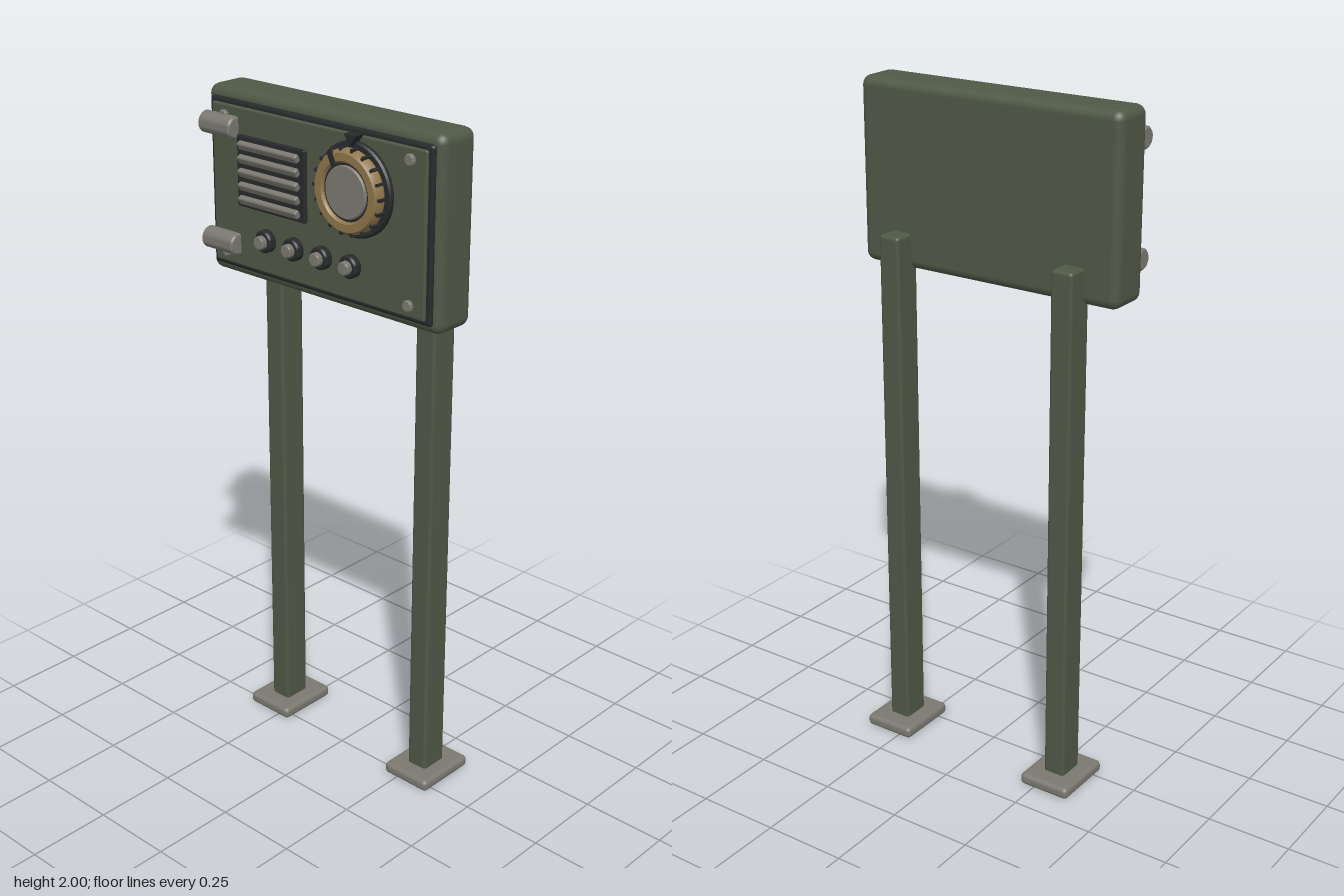
import * as THREE from 'three';
import { RoundedBoxGeometry } from 'three/addons/geometries/RoundedBoxGeometry.js';
import { toCreasedNormals } from 'three/addons/utils/BufferGeometryUtils.js';

const material = (name, color) => {
  const m = new THREE.MeshStandardMaterial({ color });
  m.name = name;
  return m;
};

export function createModel() {
  const green = material('olive green', 0x4f5846);
  const steel = material('weathered steel', 0x7a7870);
  const dark = material('dark rubber', 0x27292a);
  const brass = material('aged brass', 0x8f7549);

  const model = new THREE.Group();
  model.name = 'controlPanel';

  const add = (name, geometry, mat, x, y, z, parent = model) => {
    const mesh = new THREE.Mesh(geometry, mat);
    mesh.name = name;
    mesh.position.set(x, y, z);
    parent.add(mesh);
    return mesh;
  };
  const box = (w, h, d, r) => new RoundedBoxGeometry(w, h, d, 3, r);
  // Turned part facing +z; profile is [radius, depth] from back to front
  const turned = (profile, segments = 40) => {
    const points = profile.map(([r, z]) => new THREE.Vector2(r, z));
    return toCreasedNormals(new THREE.LatheGeometry(points, segments).rotateX(Math.PI / 2), 0.6);
  };

  // Posts and feet
  for (const x of [-0.286, 0.286]) {
    add('post', box(0.068, 1.555, 0.087, 0.01), green, x, 0.7975, -0.0615);
    add('foot', box(0.162, 0.036, 0.198, 0.014), steel, x, 0.018, -0.064);
  }

  // Cabinet, seal and door
  add('cabinet', box(0.846, 0.53, 0.135, 0.028), green, 0, 1.735, 0.0225);
  add('doorSeal', box(0.802, 0.478, 0.04, 0.01), dark, 0, 1.734, 0.08);
  add('door', box(0.772, 0.45, 0.03, 0.006), green, 0, 1.734, 0.093);

  // Hinges and corner screws
  for (const y of [1.902, 1.573]) {
    const barrel = turned([[0, -0.061], [0.026, -0.061], [0.031, -0.056], [0.031, 0.056], [0.026, 0.061], [0, 0.061]], 24);
    add('hinge', barrel, steel, -0.344, y, 0.116).rotation.y = Math.PI / 2;
  }
  for (const x of [-0.335, 0.335]) {
    for (const y of [1.928, 1.543]) {
      add('screw', turned([[0.016, 0], [0.016, 0.009], [0.013, 0.012], [0, 0.012]], 12), steel, x, y, 0.107);
    }
  }

  // Louvred speaker grille
  add('grilleBacking', box(0.256, 0.2, 0.02, 0.005), dark, -0.154, 1.786, 0.108);
  for (let i = 0; i < 5; i++) {
    const slat = add('grilleSlat', box(0.222, 0.024, 0.018, 0.006), steel, -0.153, 1.862 - i * 0.038, 0.126);
    slat.rotation.x = 0.5;
  }

  // Row of small knobs
  for (let i = 0; i < 4; i++) {
    const x = -0.177 + i * 0.1047;
    add('knobCollar', turned([[0.032, 0], [0.032, 0.018], [0.027, 0.023], [0, 0.023]], 24), dark, x, 1.606, 0.107);
    add('knobCap', turned([[0.019, 0], [0.019, 0.016], [0.016, 0.019], [0, 0.019]], 16), steel, x, 1.606, 0.128);
  }

  // Large dial
  const dial = new THREE.Group();
  dial.name = 'dial';
  dial.position.set(0.152, 1.816, 0.107);
  model.add(dial);
  add('dialBase', turned([[0.128, 0], [0.128, 0.01], [0.123, 0.015], [0, 0.015]], 48), dark, 0, 0, 0, dial);
  add('dialRing', turned([[0.108, 0.014], [0.113, 0.022], [0.112, 0.038], [0.104, 0.05], [0.083, 0.05], [0.078, 0.044], [0.078, 0.014]], 48), brass, 0, 0, 0, dial);
  add('dialWell', turned([[0.08, 0.014], [0.08, 0.04], [0, 0.04]]), dark, 0, 0, 0, dial);
  add('dialCap', turned([[0.071, 0.038], [0.071, 0.044], [0.068, 0.047], [0, 0.047]]), steel, 0, 0, 0, dial);
  const teeth = 18;
  for (let i = 0; i < teeth; i++) {
    const a = (i / teeth) * Math.PI * 2;
    const tooth = add('dialGrip', new THREE.BoxGeometry(0.012, 0.008, 0.028),
      dark, Math.cos(a) * 0.112, Math.sin(a) * 0.112, 0.03, dial);
    tooth.rotation.z = a;
  }
  const mark = add('dialMark', new THREE.BoxGeometry(0.036, 0.016, 0.008), dark, -0.041, 0.082, 0.05, dial);
  mark.rotation.z = Math.atan2(0.082, -0.041);

  // Triangular pointer above the dial
  const triangle = new THREE.Shape([[-0.021, 0.014], [0, -0.016], [0.021, 0.014]].map(([x, y]) => new THREE.Vector2(x, y)));
  add('dialPointer', new THREE.ExtrudeGeometry(triangle, { depth: 0.03, bevelEnabled: false }), dark, 0.154, 1.95, 0.107);

  return model;
}
